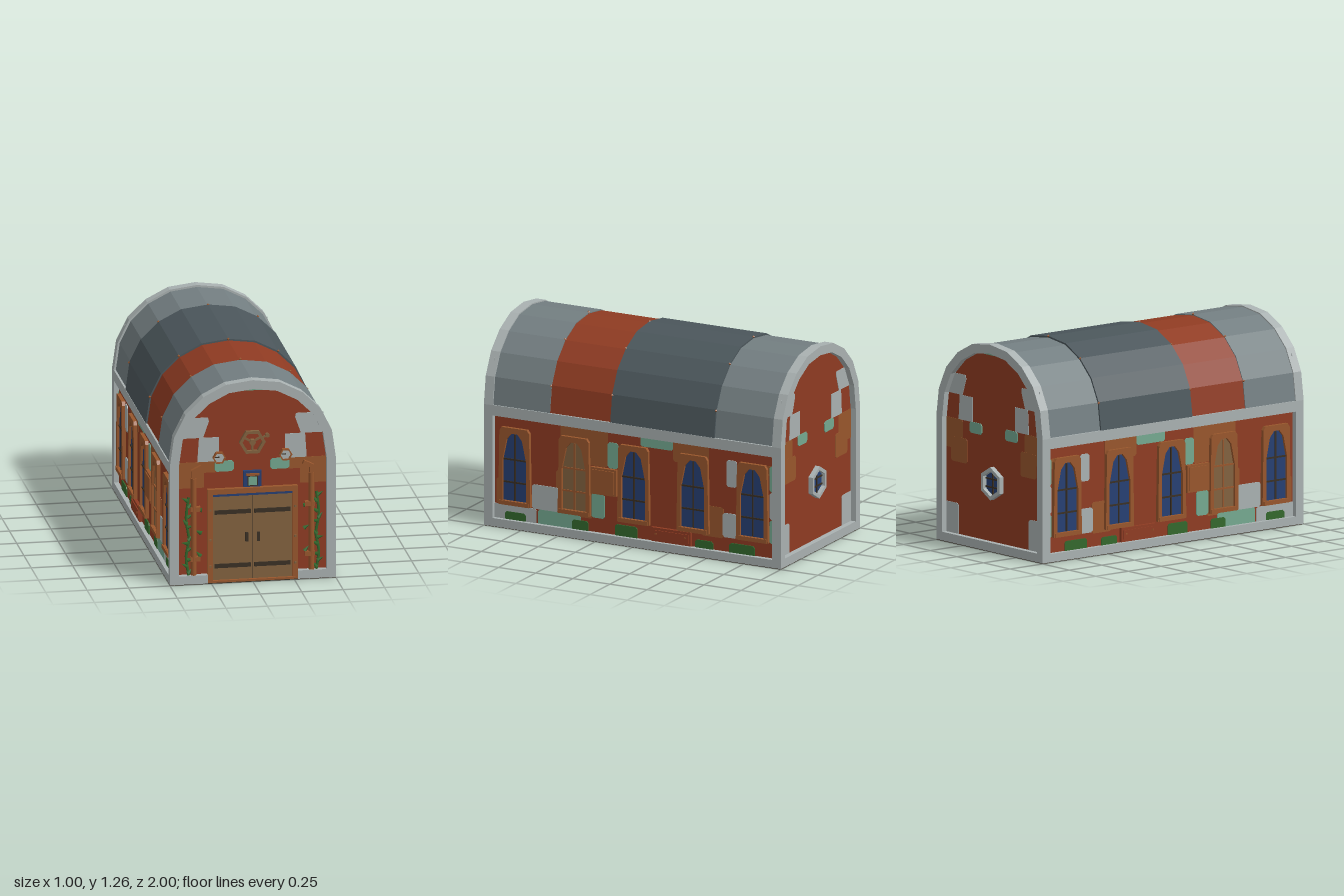
import * as THREE from 'three';

const mat = (name, color) => new THREE.MeshStandardMaterial({ name, color });
const M = {
  brick: mat('brick red', 0x8f3b22), trim: mat('orange brown', 0x98562c),
  stone: mat('pale grey', 0xa9b1b1), sheet: mat('sheet grey', 0x737e81),
  slate: mat('slate', 0x4b565b), mint: mat('mint', 0x74a890),
  wood: mat('tan wood', 0x82623f), glass: mat('blue', 0x263f72),
  leaf: mat('green', 0x33672c), dark: mat('dark brown', 0x392f24),
};

// Upper half of the barrel outline, from right to left, shrunk toward (0, 0.75)
function arch(inset = 0) {
  const half = [[0.5, 0.75], [0.476, 0.92], [0.408, 1.057], [0.3, 1.162], [0.163, 1.232]];
  const k = (0.5 - inset) / 0.5;
  return [...half, [0, 1.253], ...half.map(([x, y]) => [-x, y]).reverse()]
    .map(([x, y]) => [x * k, 0.75 + (y - 0.75) * k]);
}
const toShape = (pts) => new THREE.Shape(pts.map(([x, y]) => new THREE.Vector2(x, y)));
const hexagon = (r, turn = 0) => Array.from({ length: 6 }, (_, i) =>
  [r * Math.cos(i * Math.PI / 3 + turn), r * Math.sin(i * Math.PI / 3 + turn)]);

function add(parent, name, geo, material, x = 0, y = 0, z = 0) {
  const m = new THREE.Mesh(geo, material);
  m.name = name;
  m.position.set(x, y, z);
  parent.add(m);
  return m;
}
const box = (p, name, material, w, h, d, x, y, z) =>
  add(p, name, new THREE.BoxGeometry(w, h, d), material, x, y, z);
// Flat outline pushed out along +z, with an optional opening
function slab(p, name, material, pts, depth, z = 0, hole, x = 0, y = 0) {
  const s = toShape(pts);
  if (hole) s.holes.push(toShape(hole));
  return add(p, name, new THREE.ExtrudeGeometry(s, { depth, bevelEnabled: false }), material, x, y, z);
}
// Thin painted patch with clipped corners
function patch(p, material, x0, x1, y0, y1, depth = 0.004) {
  const [a, b] = [Math.min(x0, x1), Math.max(x0, x1)];
  const c = Math.min(0.012, (b - a) / 4, (y1 - y0) / 4);
  slab(p, 'wallPatch', material, [[a + c, y0], [b - c, y0], [b, y0 + c], [b, y1 - c],
    [b - c, y1], [a + c, y1], [a, y1 - c], [a, y0 + c]], depth);
}
const wallGroup = (root, name, x, z, turn) => {
  const g = new THREE.Group();
  g.name = name;
  g.position.set(x, 0, z);
  g.rotation.y = turn;
  root.add(g);
  return g;
};

// Pointed window with a deep surround, mullions and sill
function archWindow(p, u, boarded) {
  const g = new THREE.Group();
  g.name = boarded ? 'boardedWindow' : 'archWindow';
  g.position.x = u;
  p.add(g);
  const pane = [[-0.08, 0.17], [0.08, 0.17], [0.08, 0.42], [0.052, 0.55], [0.02, 0.588],
    [-0.02, 0.588], [-0.052, 0.55], [-0.08, 0.42]];
  slab(g, 'windowSurround', M.trim, [[-0.108, 0.145], [0.108, 0.145], [0.1, 0.6], [0.085, 0.622],
    [-0.085, 0.622], [-0.1, 0.6]], 0.022, 0, pane);
  slab(g, 'windowPane', boarded ? M.wood : M.glass, pane, 0.007);
  const bar = boarded ? M.trim : M.dark;
  box(g, 'mullion', bar, 0.009, 0.41, 0.01, 0, 0.377, 0.008);
  for (const y of [0.285, 0.425]) box(g, 'glazingBar', bar, 0.156, 0.01, 0.01, 0, y, 0.008);
  box(g, 'windowSill', M.trim, 0.2, 0.025, 0.028, 0, 0.157, 0.014);
}

function sideWall(root, s) {
  const p = wallGroup(root, s > 0 ? 'leftWall' : 'rightWall', s * 0.47, 0, s * Math.PI / 2);
  // Patches as [z0, z1, y0, y1]
  const patches = {
    trim: [[0.5, 0.18, 0.46, 0.69], [0.53, 0.28, 0.13, 0.4], [-0.26, -0.5, 0.56, 0.69], [-0.45, -0.6, 0.13, 0.32],
      [0.93, 0.88, 0.14, 0.3], [-0.7, -0.94, 0.56, 0.62]],
    mint: [[0.18, 0.11, 0.46, 0.62], [-0.04, -0.26, 0.625, 0.7], [0.29, 0.2, 0.14, 0.29],
      [0.65, 0.36, 0.04, 0.14], [-0.91, -0.96, 0.14, 0.285], [-0.91, -0.96, 0.46, 0.62]],
    stone: [[0.96, 0.66, 0.04, 0.14], [0.69, 0.51, 0.14, 0.29], [-0.62, -0.69, 0.455, 0.62],
      [-0.595, -0.69, 0.14, 0.29], [-0.91, -0.96, 0.29, 0.455]],
    leaf: [[0.87, 0.73, 0.04, 0.1], [0.42, 0.31, 0.04, 0.11], [0.13, -0.02, 0.04, 0.12],
      [-0.41, -0.53, 0.04, 0.1], [-0.64, -0.81, 0.04, 0.11]],
  };
  const depths = { trim: 0.002, mint: 0.004, stone: 0.005, leaf: 0.007 };
  for (const [key, list] of Object.entries(patches))
    for (const [z0, z1, y0, y1] of list) patch(p, M[key], -s * z0, -s * z1, y0, y1, depths[key]);
  for (const z of [0.8, 0.4, 0, -0.4, -0.8]) archWindow(p, -s * z, z === 0.4);
  // Wall cabinet and low plate
  box(p, 'cabinet', M.trim, 0.17, 0.165, 0.022, -s * 0.2, 0.375, 0.011);
  box(p, 'cabinetLid', M.trim, 0.145, 0.14, 0.006, -s * 0.2, 0.375, 0.025);
  box(p, 'lowPlate', M.brick, 0.265, 0.085, 0.02, s * 0.255, 0.098, 0.01);
  box(p, 'lowPlatePanel', M.brick, 0.235, 0.055, 0.006, s * 0.255, 0.098, 0.023);
  for (const d of [-0.1, 0.1]) box(p, 'plateScrew', M.trim, 0.01, 0.01, 0.006, s * 0.255 + d, 0.105, 0.027);
  // Stone rails above and below
  box(root, 'lowerRail', M.stone, 0.045, 0.05, 1.9, s * 0.4775, 0.027, 0);
  box(root, 'upperRail', M.stone, 0.045, 0.065, 1.9, s * 0.4775, 0.719, 0);
}

// Stepped patches shared by both end walls
function endPatches(p) {
  for (const s of [-1, 1]) {
    slab(p, 'wallPatch', M.stone, [[s * 0.43, 1.025], [s * 0.265, 1.025], [s * 0.26, 1.0], [s * 0.295, 0.9],
      [s * 0.2, 0.9], [s * 0.2, 0.75], [s * 0.33, 0.75], [s * 0.32, 0.9], [s * 0.45, 0.9]], 0.003);
    patch(p, M.mint, s * 0.11, s * 0.225, 0.685, 0.752, 0.005);
  }
  slab(p, 'keyPatch', M.mint, [[-0.2, 1.18], [0.2, 1.18], [0, 1.21]], 0.003);
}

// Drain post, brackets and climbing vine beside the door
function postAndVine(p, s) {
  add(p, 'drainPost', new THREE.CylinderGeometry(0.018, 0.018, 0.6, 8), M.trim, s * 0.355, 0.355, 0.016);
  const elbow = box(p, 'drainElbow', M.trim, 0.065, 0.025, 0.025, s * 0.335, 0.71, 0.016);
  elbow.rotation.z = -s * 0.45;
  box(p, 'drainNeck', M.trim, 0.022, 0.06, 0.022, s * 0.355, 0.675, 0.016);
  for (const y of [0.155, 0.465]) box(p, 'drainBracket', M.trim, 0.06, 0.028, 0.03, s * 0.345, y, 0.017);
  const pts = [[0.385, 0.055], [0.4, 0.17], [0.383, 0.28], [0.4, 0.4], [0.385, 0.54]]
    .map(([x, y]) => new THREE.Vector3(s * x, y, 0.014));
  add(p, 'vineStem', new THREE.TubeGeometry(new THREE.CatmullRomCurve3(pts), 16, 0.009, 5), M.leaf);
  for (let i = 0; i < 14; i++) {
    const side = i % 2 ? 1 : -1;
    const inner = i % 4 === 3;
    const leaf = add(p, 'vineLeaf', new THREE.ConeGeometry(0.014, 0.042, 4), M.leaf,
      s * (inner ? 0.327 : 0.392 + side * 0.018), 0.085 + i * 0.034, 0.018);
    leaf.rotation.z = -s * side * (0.7 + (i % 3) * 0.35);
  }
}

function frontWall(root) {
  const p = wallGroup(root, 'frontWall', 0, 0.965, 0);
  endPatches(p);
  for (const s of [-1, 1]) {
    slab(p, 'wallPatch', M.trim, [[s * 0.46, 0.59], [s * 0.29, 0.59], [s * 0.29, 0.682], [s * 0.22, 0.682],
      [s * 0.22, 0.75], [s * 0.46, 0.75]], 0.002);
    postAndVine(p, s);
    // Door leaf with straps and handle
    box(p, 'doorLeaf', M.wood, 0.238, 0.525, 0.014, s * 0.12, 0.275, 0.007);
    for (const y of [0.103, 0.436]) box(p, 'doorStrap', M.dark, 0.218, 0.025, 0.008, s * 0.12, y, 0.018);
    box(p, 'doorHandle', M.dark, 0.016, 0.055, 0.014, s * 0.035, 0.277, 0.02);
    for (const y of [0.105, 0.27, 0.455]) box(p, 'frameScrew', M.wood, 0.013, 0.013, 0.006, s * 0.256, y, 0.03);
    // Hexagonal dial
    slab(p, 'dialRim', M.trim, hexagon(0.04), 0.024, 0, hexagon(0.031), s * 0.2, 0.775);
    slab(p, 'dialFace', M.stone, hexagon(0.032), 0.016, 0, null, s * 0.2, 0.775);
    box(p, 'dialHand', M.dark, 0.028, 0.006, 0.004, s * 0.2 - 0.012, 0.779, 0.018);
  }
  slab(p, 'doorFrame', M.trim, [[-0.272, 0.004], [-0.24, 0.004], [-0.24, 0.55], [0.24, 0.55], [0.24, 0.004],
    [0.272, 0.004], [0.272, 0.582], [-0.272, 0.582]], 0.029);
  box(p, 'doorBacking', M.dark, 0.48, 0.53, 0.008, 0, 0.27, 0.004);
  box(p, 'doorHeader', M.glass, 0.48, 0.016, 0.02, 0, 0.542, 0.01);
  box(p, 'doorSill', M.trim, 0.544, 0.012, 0.032, 0, 0.01, 0.016);
  // Lamp over the door
  box(p, 'lampBox', M.glass, 0.11, 0.098, 0.022, 0, 0.636, 0.011);
  box(p, 'lampRecess', M.dark, 0.062, 0.062, 0.004, 0, 0.624, 0.0225);
  box(p, 'lampPane', M.mint, 0.052, 0.052, 0.004, 0, 0.624, 0.025);
  box(p, 'lampHood', M.trim, 0.08, 0.014, 0.012, 0, 0.664, 0.026);
  // Hexagonal wheel with three spokes and a side knob
  slab(p, 'wheelRim', M.wood, hexagon(0.08), 0.022, 0, hexagon(0.06), 0, 0.862);
  slab(p, 'wheelHub', M.wood, hexagon(0.02), 0.026, 0, null, 0, 0.862);
  for (const a of [Math.PI / 6, Math.PI * 5 / 6, -Math.PI / 2]) {
    const spoke = box(p, 'wheelSpoke', M.wood, 0.056, 0.012, 0.012, 0.032 * Math.cos(a), 0.862 + 0.032 * Math.sin(a), 0.012);
    spoke.rotation.z = a;
  }
  slab(p, 'wheelKnob', M.wood, hexagon(0.014, 0.3), 0.022, 0, null, 0.09, 0.9);
  box(p, 'wheelArm', M.wood, 0.03, 0.01, 0.012, 0.074, 0.892, 0.01).rotation.z = 0.4;
}

function backWall(root) {
  const p = wallGroup(root, 'backWall', 0, -0.965, Math.PI);
  endPatches(p);
  for (const s of [-1, 1]) {
    patch(p, M.trim, s * 0.29, s * 0.46, 0.57, 0.75, 0.002);
    patch(p, M.trim, s * 0.25, s * 0.4, 0.49, 0.64, 0.0025);
    patch(p, M.stone, s * 0.33, s * 0.46, 0.04, 0.24, 0.003);
  }
  // Hexagonal porthole
  slab(p, 'portholeRim', M.stone, hexagon(0.1, Math.PI / 6), 0.03, 0, hexagon(0.076, Math.PI / 6), 0, 0.41);
  slab(p, 'portholeGlass', M.glass, hexagon(0.078, Math.PI / 6), 0.006, 0, null, 0, 0.41);
  box(p, 'portholeBar', M.dark, 0.01, 0.15, 0.008, 0, 0.41, 0.009);
  for (const y of [0.385, 0.435]) box(p, 'portholeBar', M.dark, 0.13, 0.009, 0.008, 0, y, 0.009);
}

export function createModel() {
  const root = new THREE.Group();
  root.name = 'barrelRoofHall';
  // Brick core and dark floor
  slab(root, 'brickCore', M.brick, [[0.47, 0.003], ...arch(0.03), [-0.47, 0.003]], 1.93, -0.965);
  box(root, 'floor', M.dark, 1, 0.003, 2, 0, 0.0015, 0);
  // Stone end arches, with a doorway gap at the front
  const outer = [[0.5, 0.002], ...arch(), [-0.5, 0.002]];
  const inner = [[0.445, 0.055], ...arch(0.055), [-0.445, 0.055]];
  slab(root, 'frontArch', M.stone, [...outer, [-0.272, 0.002], [-0.272, 0.055],
    ...inner.slice().reverse(), [0.272, 0.055], [0.272, 0.002]], 0.06, 0.94);
  slab(root, 'backArch', M.stone, outer, 0.06, -1, inner);
  // Roof sheets from front to back
  for (const [z0, z1, inset, key] of [[0.56, 0.95, 0.007, 'sheet'], [0.15, 0.56, 0.012, 'brick'],
    [-0.55, 0.15, 0.002, 'slate'], [-0.95, -0.55, 0.012, 'sheet']])
    slab(root, 'roofSheet', M[key], arch(inset), z1 - z0, z0);
  // Bolts along the roof seams
  for (const z of [0.56, 0.15, -0.55])
    for (const [x, y] of [[0, 1.25], [0.3, 1.16], [-0.3, 1.16], [0.475, 0.915], [-0.475, 0.915]])
      add(root, 'roofBolt', new THREE.OctahedronGeometry(0.009), M.trim, x, y, z);
  sideWall(root, 1);
  sideWall(root, -1);
  frontWall(root);
  backWall(root);
  return root;
}
